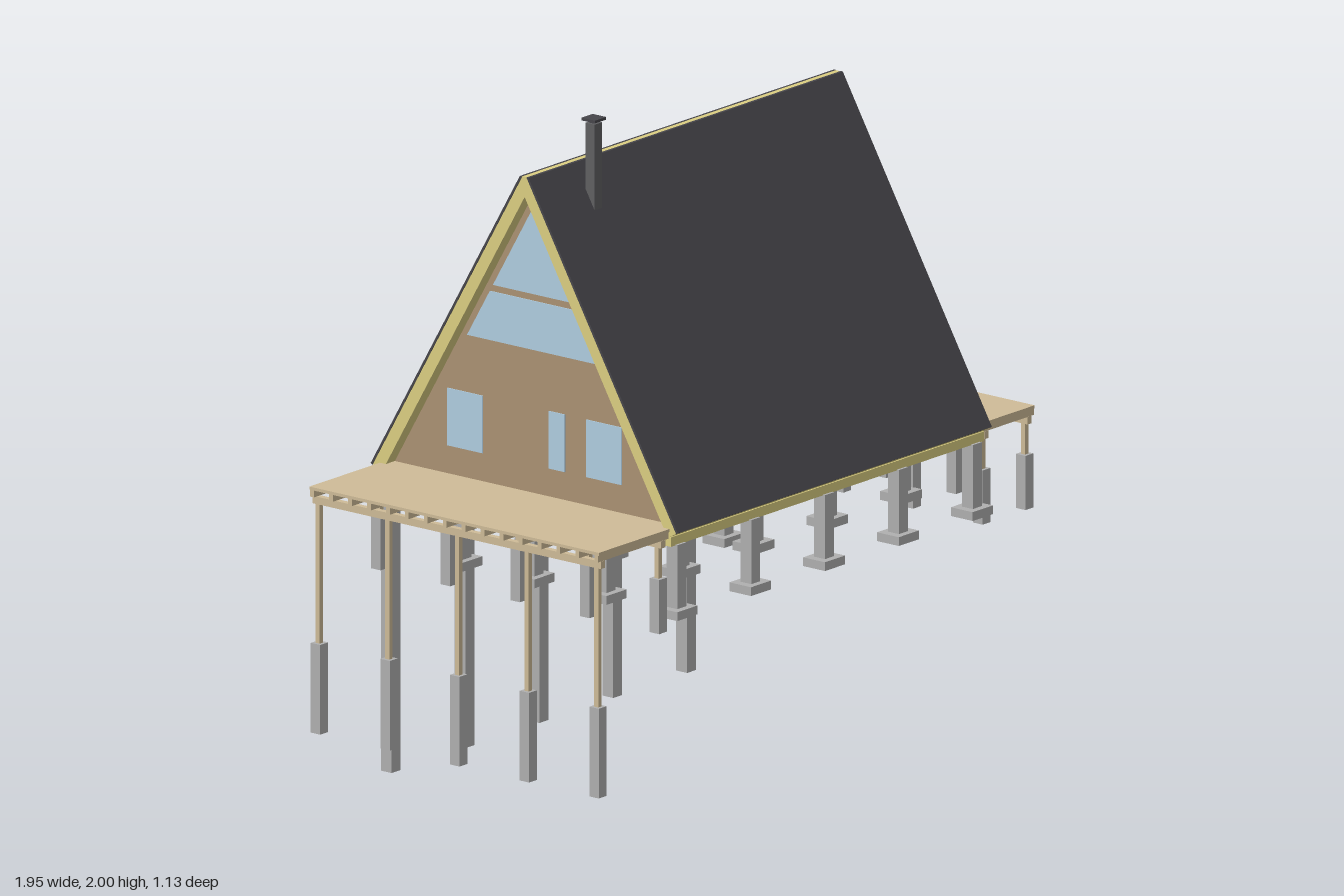
import * as THREE from 'three';

const mat = (color) => new THREE.MeshStandardMaterial({ color });
const X0 = -0.66, X1 = 0.74;      // gable ends of the roof
const W0 = -0.62, W1 = 0.70;      // outer faces of the gable walls
const PITCH = 1.732, APEX = 1.80; // inner roof line: y = APEX - PITCH * z

export function createModel() {
  const model = new THREE.Group();
  const timber = mat(0xdccf82), deckWood = mat(0xcfbc98), wall = mat(0xab9273);
  const doorWood = mat(0x93765f), glass = mat(0xb0cde0), roofing = mat(0x47464b);
  const concrete = mat(0xb0b0b0), floorGrey = mat(0x66666a), metal = mat(0x606062);

  const group = (name) => {
    const g = new THREE.Group();
    g.name = name;
    model.add(g);
    return g;
  };
  const add = (parent, name, geometry, material) => {
    const m = new THREE.Mesh(geometry, material);
    m.name = name;
    parent.add(m);
    return m;
  };
  // box given by its limits on each axis
  const box = (parent, name, material, [xa, xb], [ya, yb], [za, zb]) => {
    const g = new THREE.BoxGeometry(xb - xa, yb - ya, zb - za);
    g.translate((xa + xb) / 2, (ya + yb) / 2, (za + zb) / 2);
    return add(parent, name, g, material);
  };
  const around = (c, w) => [c - w / 2, c + w / 2];
  // polygon of [z, y] points extruded along x
  const prism = (parent, name, material, points, xa, xb) => {
    const shape = new THREE.Shape(points.map(([z, y]) => new THREE.Vector2(-z, y)));
    const g = new THREE.ExtrudeGeometry(shape, { depth: xb - xa, bevelEnabled: false });
    g.rotateY(Math.PI / 2);
    g.translate(xa, 0, 0);
    return add(parent, name, g, material);
  };

  // roof: a timber layer under a thin dark covering on each slope
  const roof = group('roof');
  const eave = (t) => [0.526 + 0.866 * t, 0.889 + 0.5 * t];
  const ridge = (t) => [(APEX + 2 * t - 1.86) / PITCH, 1.86];
  for (const s of [1, -1]) {
    const side = (pts) => pts.map(([z, y]) => [s * z, y]);
    prism(roof, 'roofTimber', timber,
      side([[0, APEX], eave(0), eave(0.037), ridge(0.037), [0, 1.86]]), X0, X1);
    prism(roof, 'roofCovering', roofing,
      side([eave(0.037), eave(0.044), ridge(0.044), ridge(0.037)]), X0 - 0.002, X1 + 0.002);
  }

  // gable walls, set back under the roof
  const base = (APEX - 0.9) / PITCH;
  const gable = [[-base, 0.9], [base, 0.9], [0, APEX]];
  const walls = group('gableWalls');
  prism(walls, 'entranceWall', wall, gable, W1 - 0.03, W1);
  prism(walls, 'glazedWall', wall, gable, W0, W0 + 0.03);

  // door and windows of the entrance gable
  const openings = group('openings');
  const f1 = [W1 - 0.01, W1 + 0.003];
  box(openings, 'door', doorWood, f1, [0.917, 1.195], [0.11, 0.232]);
  for (const z of [0.305, 0.04]) box(openings, 'window', glass, f1, [1.045, 1.175], around(z, 0.08));

  // windows and upper glazing of the other gable
  const f0 = [W0 - 0.003, W0 + 0.01];
  for (const [z, w] of [[-0.25, 0.13], [0.087, 0.06], [0.26, 0.13]])
    box(openings, 'window', glass, f0, [1.0, 1.17], around(z, w));
  const edge = (y) => (APEX - 0.04 - y) / PITCH;
  prism(openings, 'lowerGlazing', glass,
    [[-edge(1.34), 1.34], [edge(1.34), 1.34], [edge(1.485), 1.485], [-edge(1.485), 1.485]], ...f0);
  prism(openings, 'upperGlazing', glass,
    [[-edge(1.505), 1.505], [edge(1.505), 1.505], [0, APEX - 0.04]], ...f0);

  // floor slab and the timber frame below it
  const floor = group('floor');
  const rows = [0.525, 0.265, 0, -0.265, -0.525];
  box(floor, 'floorSlab', floorGrey, [X0 + 0.005, X1 - 0.005], [0.889, 0.908], [-0.515, 0.515]);
  for (const z of rows) box(floor, 'floorBeam', timber, [X0, X1], [0.865, 0.893], around(z, 0.025));

  // concrete foundations: short columns on pads, tall piles along the back
  const foundation = group('foundation');
  const column = (x, z) => {
    box(foundation, 'column', concrete, around(x, 0.04), [0.67, 0.867], around(z, 0.04));
    box(foundation, 'footingPad', concrete, around(x, 0.09), [0.652, 0.678], around(z, 0.08));
  };
  for (let i = 0; i < 5; i++) {
    const x = -0.62 + i * 0.33;
    for (const z of rows.slice(0, 4)) column(x, z);
    box(foundation, 'tallPile', concrete, around(x, 0.04), [0, 0.867], around(-0.525, 0.04));
  }
  column(0.04, 0.155);

  // terraces: boards, joists along x, beams along z, posts on concrete piles
  const terrace = (name, span, supports) => {
    const g = group(name);
    box(g, 'boards', deckWood, span, [0.908, 0.917], [-0.532, 0.532]);
    for (let i = 0; i < 16; i++)
      box(g, 'joist', deckWood, span, [0.888, 0.908], around(-0.522 + i * 0.0696, 0.014));
    for (const [x, low, high] of supports) {
      box(g, 'beam', deckWood, around(x, 0.018), [0.866, 0.888], [-0.53, 0.53]);
      for (let i = -2; i <= 2; i++) {
        const z = i * 0.256;
        box(g, 'post', deckWood, around(x, 0.015), [high, 0.868], around(z, 0.015));
        box(g, 'pile', concrete, around(x, 0.035), [low, high], around(z, 0.035));
      }
    }
  };
  terrace('rightTerrace', [-0.975, W0], [[-0.955, 0.19, 0.455], [-0.685, 0.615, 0.775]]);
  terrace('leftTerrace', [W1, 0.972], [[0.952, 0.615, 0.775], [0.76, 0.615, 0.775]]);

  // chimney running from the floor through the front slope
  const chimney = group('chimney');
  box(chimney, 'flue', metal, around(-0.44, 0.034), [0.857, 1.985], around(0.073, 0.034));
  box(chimney, 'chimneyCap', roofing, around(-0.44, 0.05), [1.992, 2.0], around(0.073, 0.05));
  box(chimney, 'capNeck', roofing, around(-0.44, 0.02), [1.984, 1.993], around(0.073, 0.02));

  return model;
}
